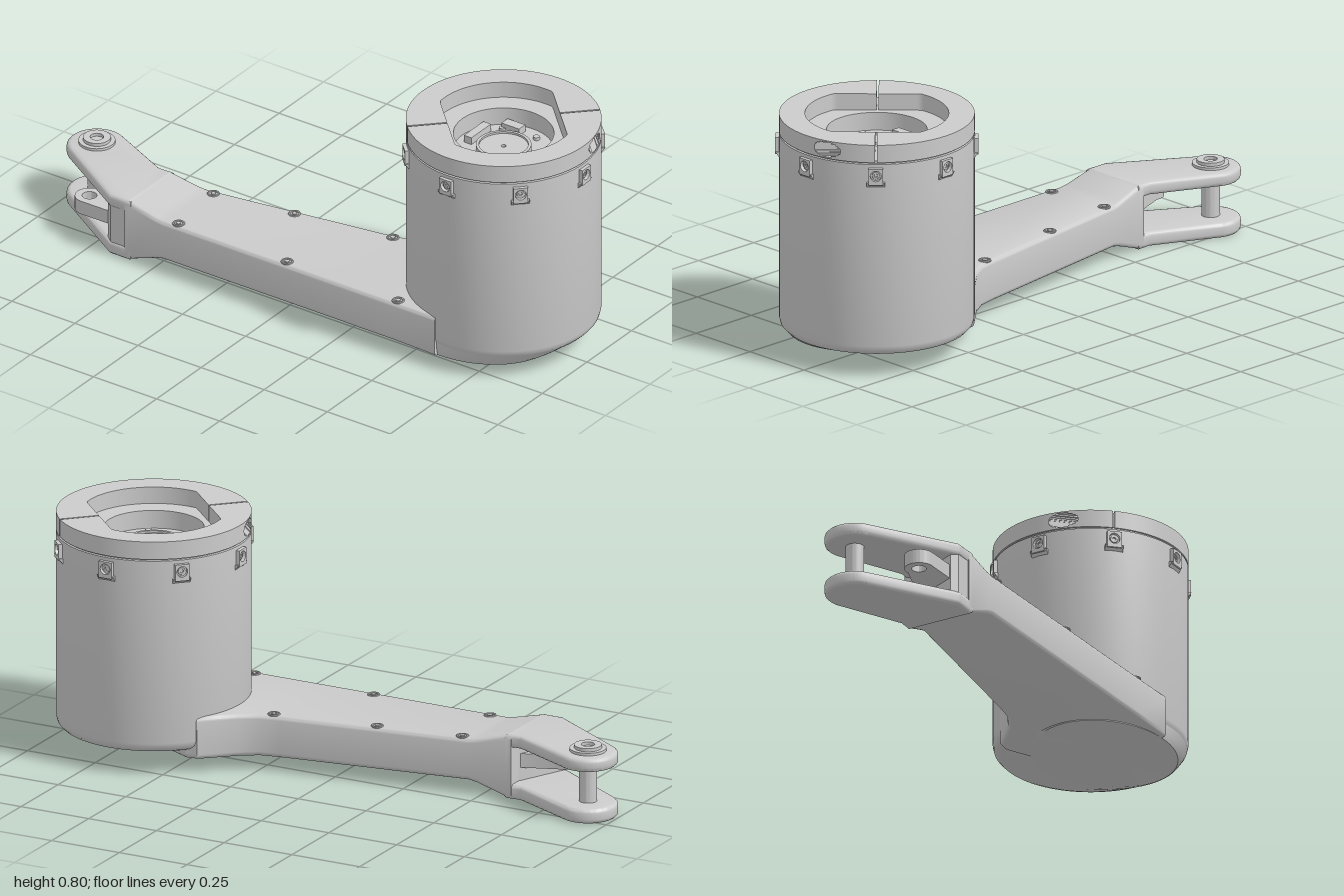
import * as THREE from 'three';
import { toCreasedNormals } from 'three/addons/utils/BufferGeometryUtils.js';

const mat = new THREE.MeshStandardMaterial({ color: 0xcccccc });
const CZ = 0.67; // housing axis
const R = 0.317; // housing radius
const PIVOT = [-0.06, -0.9];

function add(parent, name, geo, x = 0, y = 0, z = 0) {
  const m = new THREE.Mesh(toCreasedNormals(geo, 0.6), mat);
  m.name = name;
  m.position.set(x, y, z);
  parent.add(m);
  return m;
}

// Horizontal plate: shape drawn in (x, z), from yTop downwards
function plate(shape, yTop, h, bevel = 0) {
  const g = new THREE.ExtrudeGeometry(shape, {
    depth: h - 2 * bevel, curveSegments: 32, bevelEnabled: bevel > 0,
    bevelThickness: bevel, bevelSize: bevel, bevelOffset: -bevel, bevelSegments: 3,
  });
  g.translate(0, 0, bevel);
  g.rotateX(Math.PI / 2);
  g.translate(0, yTop, 0);
  return g;
}

const circle = (x, y, r) => new THREE.Path().absarc(x, y, r, 0, Math.PI * 2, true);
const disc = (r, h, n = 32) => new THREE.CylinderGeometry(r, r, h, n);

// Loft of rounded rectangles; station = [z, xLeft, xRight, yBottom, yTop]
function loft(stations, r) {
  const pos = [], idx = [], per = 4, n = 4 * (per + 1);
  for (const [z, x0, x1, y0, y1] of stations) {
    const corners = [[x1 - r, y0 + r], [x1 - r, y1 - r], [x0 + r, y1 - r], [x0 + r, y0 + r]];
    corners.forEach(([cx, cy], c) => {
      for (let k = 0; k <= per; k++) {
        const a = (c - 1 + k / per) * Math.PI / 2;
        pos.push(cx + r * Math.cos(a), cy + r * Math.sin(a), z);
      }
    });
  }
  const last = stations.length - 1;
  for (let i = 0; i < last; i++) for (let j = 0; j < n; j++) {
    const a = i * n + j, b = i * n + (j + 1) % n, c = b + n, d = a + n;
    idx.push(a, d, c, a, c, b);
  }
  for (let j = 1; j < n - 1; j++) {
    idx.push(0, j, j + 1, last * n, last * n + j + 1, last * n + j);
  }
  const g = new THREE.BufferGeometry();
  g.setAttribute('position', new THREE.Float32BufferAttribute(pos, 3));
  g.setIndex(idx);
  g.computeVertexNormals();
  return g;
}

// One half of the clamp ring, with a round screw pocket of half width h
function jawShape(h) {
  const pts = [], gap = 0.01, N = 72;
  const polar = (r, a) => pts.push(new THREE.Vector2(r * Math.cos(a), r * Math.sin(a)));
  const u0 = 0.271 - h, u1 = 0.271 + h;
  const a1 = Math.acos(u1 / R), a0 = Math.acos(u0 / R);
  for (let i = 0; i <= N; i++) {
    const a = gap + (Math.PI - 2 * gap) * i / N;
    if (h === 0 || a < a1 - 0.005 || a > a0 + 0.005) polar(R, a);
    else if (pts.pocket === undefined) {
      pts.pocket = true;
      polar(R, a1);
      pts.push(new THREE.Vector2(u1, 0.06), new THREE.Vector2(u0, 0.06));
      polar(R, a0);
    }
  }
  for (let i = N; i >= 0; i--) {
    const a = gap * 1.5 + (Math.PI - 3 * gap) * i / N;
    polar(Math.min(0.233, 0.185 / Math.max(Math.abs(Math.cos(a)), 0.01)), a);
  }
  return new THREE.Shape(pts);
}

function buildHousing(root) {
  const housing = new THREE.Group();
  housing.name = 'housing';
  housing.position.z = CZ;
  root.add(housing);

  // Turned body with stepped well in the top
  const profile = [[0, 0.07], [0.285, 0.075], [0.302, 0.081], [0.313, 0.093], [R, 0.11], [R, 0.736],
    [0.311, 0.738], [0.311, 0.746], [0.163, 0.746], [0.163, 0.685], [0.09, 0.685], [0.09, 0.705],
    [0.08, 0.705], [0.08, 0.698], [0.008, 0.698], [0.008, 0.68], [0, 0.68]];
  add(housing, 'body', new THREE.LatheGeometry(profile.map(p => new THREE.Vector2(...p)), 96));

  // Sloped underside blending the round body into the flat base of the arm
  const pan = new THREE.CylinderGeometry(1, 1, 1, 72, 4);
  const p = pan.attributes.position;
  for (let i = 0; i < p.count; i++) {
    const t = p.getY(i) + 0.5, s = Math.pow(t, 0.8);
    const mix = (a, b) => a + (b - a) * s;
    p.setXYZ(i, p.getX(i) * mix(0.215, 0.312) + mix(-0.085, 0),
      0.042 + 0.05 * t, p.getZ(i) * mix(0.27, 0.312) + mix(-0.04, 0));
  }
  pan.computeVertexNormals();
  add(housing, 'underside', pan);

  // Split clamp ring, sliced in layers to form the round screw pockets
  const layers = 12, y0 = 0.742, dy = (0.802 - y0) / layers;
  for (let side = 0; side < 2; side++) {
    const jaw = new THREE.Group();
    jaw.name = 'clampJaw';
    jaw.rotation.y = -Math.PI / 4 + side * Math.PI;
    housing.add(jaw);
    for (let i = 0; i < layers; i++) {
      const t = (y0 + (i + 0.5) * dy - 0.772) / 0.025;
      const h = Math.abs(t) < 1 ? 0.025 * Math.sqrt(1 - t * t) : 0;
      add(jaw, 'clampLayer', plate(jawShape(h), y0 + (i + 1) * dy, dy));
    }
  }

  // Eight screw bosses around the rim
  const face = new THREE.Shape([[-0.024, 0.668], [0.024, 0.668], [0.024, 0.724], [-0.024, 0.724]]
    .map(q => new THREE.Vector2(...q)));
  face.holes.push(circle(0, 0.699, 0.018));
  const bossGeo = new THREE.ExtrudeGeometry(face, { depth: 0.03, bevelEnabled: false });
  const foot = new THREE.Shape([[0.3, 0.658], [0.316, 0.658], [0.329, 0.676], [0.3, 0.676]]
    .map(q => new THREE.Vector2(...q)));
  const footGeo = new THREE.ExtrudeGeometry(foot, { depth: 0.06, bevelEnabled: false });
  footGeo.translate(0, 0, -0.03);
  footGeo.rotateY(-Math.PI / 2);
  const screwGeo = new THREE.TorusGeometry(0.009, 0.004, 8, 24);
  for (let i = 0; i < 8; i++) {
    const boss = new THREE.Group();
    boss.name = 'screwBoss';
    boss.rotation.y = i * Math.PI / 4;
    housing.add(boss);
    add(boss, 'bossFace', bossGeo, 0, 0, 0.299);
    add(boss, 'bossFoot', footGeo);
    add(boss, 'bossScrew', screwGeo, 0, 0.699, 0.318);
  }

  // Small fittings on the floor of the well
  for (let i = 0; i < 6; i++) {
    const a = i * Math.PI / 3 + 0.4;
    add(housing, 'wellScrew', disc(0.011, 0.012, 16), 0.125 * Math.cos(a), 0.69, 0.125 * Math.sin(a));
  }
  add(housing, 'wellBlock', new THREE.BoxGeometry(0.11, 0.03, 0.03), 0.02, 0.695, -0.118);
  add(housing, 'wellBlock', new THREE.BoxGeometry(0.035, 0.03, 0.07), 0.118, 0.695, -0.045);
}

function buildArm(root) {
  // Tapering beam, rising and falling to the thicker fork
  add(root, 'armBeam', loft([
    [0.62, -R, 0.1, 0.042, 0.19], [0.45, -R, 0.19, 0.046, 0.19], [0.41, -R, 0.185, 0.046, 0.19],
    [0.36, -R, 0.14, 0.046, 0.19], [0.31, -R, 0.095, 0.046, 0.19], [0.25, -R, 0.06, 0.047, 0.19],
    [0.18, -R, 0.045, 0.047, 0.19], [-0.46, -R, -0.053, 0.047, 0.19], [-0.49, -R, -0.057, 0.04, 0.194],
    [-0.59, -R, -0.07, 0.004, 0.219], [-0.61, -R, -0.072, 0, 0.222]], 0.016));

  // Screws along both edges of the beam
  for (const [x, z] of [[-0.295, -0.41], [-0.295, 0.02], [-0.295, 0.46], [-0.072, -0.43], [-0.027, -0.14], [0.03, 0.21]]) {
    const ring = new THREE.TorusGeometry(0.017, 0.004, 8, 24);
    ring.rotateX(Math.PI / 2);
    add(root, 'armScrewRim', ring, x, 0.19, z);
    add(root, 'armScrew', disc(0.009, 0.006, 6), x, 0.19, z);
  }

  // Fork prongs
  const prong = new THREE.Shape();
  prong.moveTo(-0.07, -0.585);
  prong.lineTo(-R, -0.585);
  prong.lineTo(-R, -0.67);
  prong.absarc(...PIVOT, 0.098, Math.PI + 0.54, Math.PI * 2 + 0.38, false);
  prong.lineTo(-0.074, -0.64);
  prong.lineTo(-0.072, -0.6);
  add(root, 'lowerProng', plate(prong, 0.05, 0.05, 0.014));
  add(root, 'upperProng', plate(prong, 0.222, 0.046, 0.014));

  // Slanted web closing the inner end of the slot
  const web = new THREE.Shape([[-R + 0.004, -0.59], [-0.09, -0.59], [-0.11, -0.605], [-0.295, -0.69], [-R + 0.004, -0.668]]
    .map(q => new THREE.Vector2(...q)));
  add(root, 'forkWeb', plate(web, 0.19, 0.15));

  // Eye lug inside the slot
  const lug = new THREE.Shape();
  lug.moveTo(-0.12, -0.59);
  lug.lineTo(-0.29, -0.59);
  lug.absarc(-0.243, -0.8, 0.048, Math.PI, Math.PI * 2 + 0.2, false);
  lug.holes.push(circle(-0.243, -0.8, 0.024));
  add(root, 'eyeLug', plate(lug, 0.142, 0.048));

  // Pivot pin with washer, head and socket rim
  const [px, pz] = PIVOT;
  add(root, 'pivotPin', disc(0.03, 0.15), px, 0.112, pz);
  add(root, 'pivotWasher', disc(0.06, 0.012), px, 0.225, pz);
  const head = new THREE.Shape().absarc(px, pz, 0.045, 0, Math.PI * 2, false);
  head.holes.push(circle(px, pz, 0.022));
  add(root, 'pivotHead', plate(head, 0.242, 0.014));
  add(root, 'pivotNut', disc(0.04, 0.006, 6), px, 0.003, pz);
}

export function createModel() {
  const root = new THREE.Group();
  root.name = 'forkedArmWithHousing';
  buildHousing(root);
  buildArm(root);
  return root;
}
